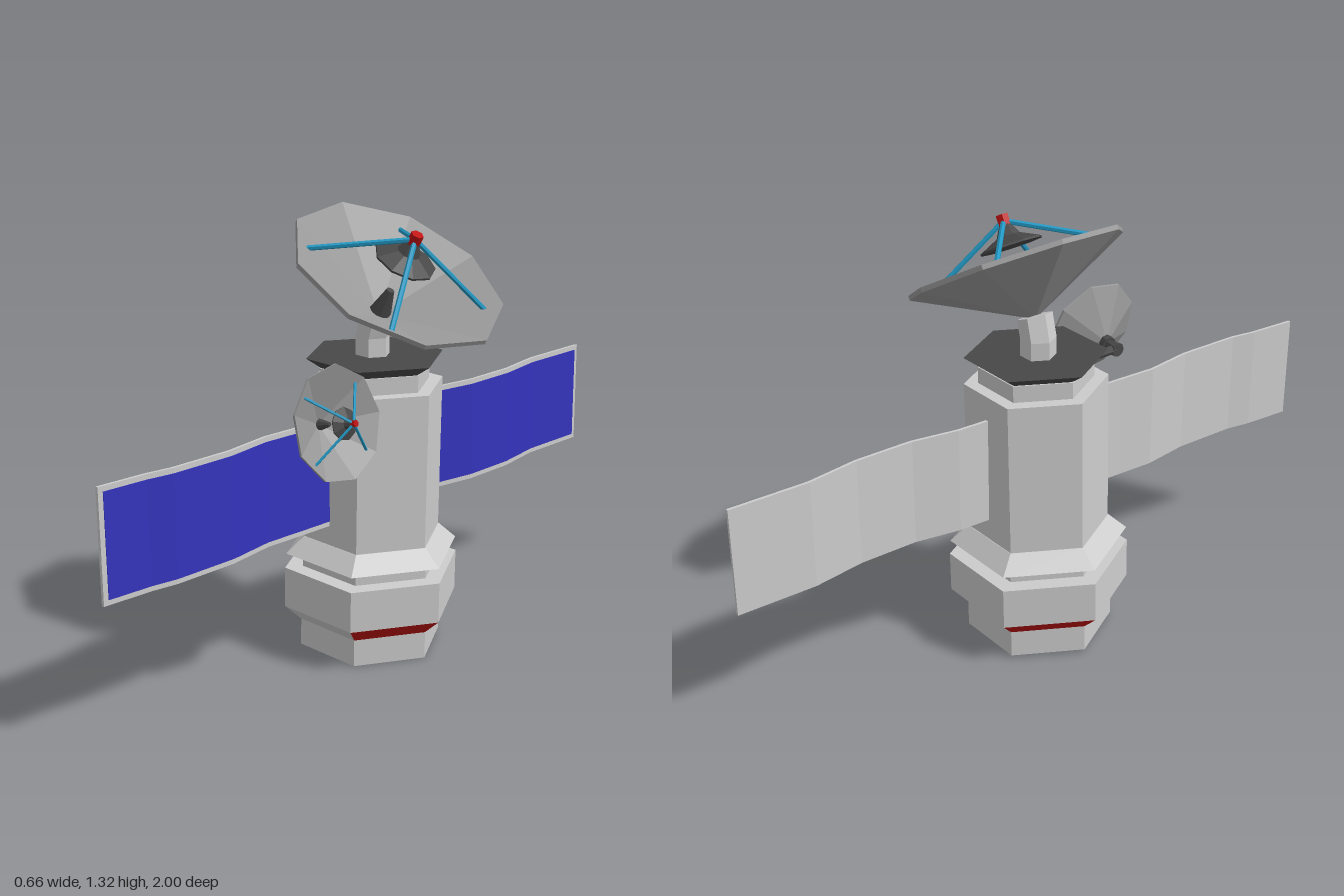
import * as THREE from 'three';

const mat = (name, color) => {
  const m = new THREE.MeshStandardMaterial({ color });
  m.name = name;
  return m;
};

export function createModel() {
  const hullGray = mat('hullGray', 0xcccccc);
  const dishGray = mat('dishGray', 0x999999);
  const darkGray = mat('darkGray', 0x484848);
  const red = mat('red', 0xc01010);
  const blue = mat('blue', 0x3434bc);
  const cyan = mat('cyan', 0x2299c4);

  const root = new THREE.Group();
  root.name = 'satellite';

  // Faceted mesh helper
  const add = (parent, name, geo, material) => {
    const g = geo.index ? geo.toNonIndexed() : geo;
    g.computeVertexNormals();
    const mesh = new THREE.Mesh(g, material);
    mesh.name = name;
    parent.add(mesh);
    return mesh;
  };

  // Cylinder between two points
  const rod = (parent, name, a, b, rA, rB, material, sides = 6) => {
    const from = new THREE.Vector3(...a), dir = new THREE.Vector3(...b).sub(from);
    const mesh = add(parent, name, new THREE.CylinderGeometry(rB, rA, dir.length(), sides), material);
    mesh.position.copy(from).addScaledVector(dir, 0.5);
    mesh.quaternion.setFromUnitVectors(new THREE.Vector3(0, 1, 0), dir.normalize());
    return mesh;
  };

  // Hexagonal hull, leaning very slightly
  const hull = new THREE.Group();
  hull.name = 'hull';
  hull.position.set(-0.0625, 0.005, 0);
  hull.rotation.z = -0.025;
  root.add(hull);

  const hex = (name, y0, r0, y1, r1, material, open = false, start = 0, faces = 6) => {
    const g = new THREE.CylinderGeometry(r1, r0, y1 - y0, faces, 1, open,
      Math.PI / 6 + start * Math.PI / 3, faces * Math.PI / 3);
    g.translate(0, (y0 + y1) / 2, 0);
    return add(hull, name, g, material);
  };
  hex('base', 0, 0.22, 0.083, 0.22, hullGray);
  // Sloped band: four red side faces, plain front and back
  for (const side of [0, 3]) {
    hex('redBand', 0.083, 0.22, 0.13, 0.27, red, true, side, 2);
    hex('plainBand', 0.083, 0.22, 0.13, 0.27, hullGray, true, side + 2, 1);
  }
  hex('collar', 0.13, 0.27, 0.255, 0.27, hullGray);
  hex('lowerNeck', 0.255, 0.215, 0.3, 0.215, hullGray);
  hex('skirt', 0.3, 0.267, 0.35, 0.212, hullGray);
  hex('mainBody', 0.35, 0.21, 0.815, 0.21, hullGray);
  hex('upperNeck', 0.815, 0.168, 0.865, 0.168, hullGray);
  hex('topShade', 0.855, 0.148, 0.896, 0.208, darkGray);

  // Bent mast carrying the large dish
  const mast = new THREE.CylinderGeometry(0.052, 0.052, 0.12, 6, 2);
  mast.rotateY(Math.PI / 6);
  const p = mast.attributes.position;
  for (let i = 0; i < p.count; i++) {
    const x = p.getX(i), y = p.getY(i);
    if (y > 0.01) p.setXYZ(i, x * 0.92 + 0.017, 0.06 - x * 0.4, p.getZ(i));
  }
  add(root, 'mast', mast, hullGray).position.set(-0.05, 0.955, 0);

  // Dish antenna, modelled with its rim centred on the origin and facing +y
  const dish = (name, scale, position, tilt) => {
    const g = new THREE.Group();
    g.name = name;
    g.position.set(...position);
    g.rotation.z = -tilt;
    g.scale.setScalar(scale);
    root.add(g);
    const lathe = (pts, sides) => new THREE.LatheGeometry(
      pts.map(q => new THREE.Vector2(...q)), sides, Math.PI);
    add(g, 'reflector', lathe([[0, -0.158], [0.02, -0.158], [0.325, -0.008],
      [0.325, 0.006], [0.02, -0.143], [0, -0.143]], 9), dishGray);
    add(g, 'feedHorn', lathe([[0, -0.145], [0.035, -0.145], [0.012, -0.06], [0, -0.06]], 8), darkGray);
    add(g, 'subReflector', lathe([[0, 0.06], [0.092, 0.046], [0.092, 0.052],
      [0.035, 0.078], [0.012, 0.12], [0, 0.12]], 9), darkGray);
    rod(g, 'focusTip', [0, 0.105, 0], [0, 0.14, 0], 0.019, 0.019, red);
    for (const sx of [-1, 1]) for (const sz of [-1, 1]) {
      rod(g, 'strut', [sx * 0.188, -0.02, sz * 0.2], [0, 0.122, 0], 0.008, 0.008, cyan);
    }
  };
  dish('largeDish', 1, [0.05, 1.15, 0], 0.534);
  dish('smallDish', 0.5, [0.155, 0.808, 0.36], 1.353);

  // Arm of the small dish
  rod(root, 'armMount', [0.025, 0.79, 0.17], [0.025, 0.79, 0.21], 0.025, 0.025, darkGray, 8);
  rod(root, 'arm', [0.025, 0.79, 0.2], [0.025, 0.79, 0.35], 0.014, 0.014, darkGray, 8);
  rod(root, 'armElbow', [0.012, 0.79, 0.352], [0.026, 0.79, 0.352], 0.022, 0.022, darkGray, 8);
  rod(root, 'armWrist', [0.026, 0.79, 0.352], [0.062, 0.79, 0.356], 0.016, 0.016, darkGray, 8);
  rod(root, 'dishHub', [0.058, 0.79, 0.356], [0.082, 0.792, 0.36], 0.023, 0.023, darkGray, 8);

  // Gently waving solar wings: [z, x] bend lines
  const bends = {
    backWing: [[-1, -0.043], [-0.76, -0.046], [-0.6, -0.022], [-0.42, -0.022], [-0.28, -0.046], [-0.17, -0.05]],
    frontWing: [[0.17, -0.06], [0.3, -0.064], [0.42, -0.069], [0.57, -0.047], [0.77, -0.049], [0.85, -0.062], [1, -0.071]],
  };
  // Sheet following the bend lines, its z ends trimmed to z0..z1
  const sheet = (line, z0, z1, h, thick, offset) => {
    const rows = line.map(([z, x]) => [Math.min(z1, Math.max(z0, z)), x]);
    const g = new THREE.BoxGeometry(thick, h, 1, 1, 1, rows.length - 1);
    const pos = g.attributes.position;
    for (let i = 0; i < pos.count; i++) {
      const [z, x] = rows[Math.round((pos.getZ(i) + 0.5) * (rows.length - 1))];
      pos.setXYZ(i, pos.getX(i) + x + offset, pos.getY(i), z);
    }
    return g;
  };
  for (const [name, line] of Object.entries(bends)) {
    const y = name === 'frontWing' ? 0.577 : 0.583;
    const wing = new THREE.Group();
    wing.name = name;
    wing.position.y = y;
    root.add(wing);
    add(wing, 'wingPanel', sheet(line, -1, 1, 0.325, 0.009, 0), hullGray);
    add(wing, 'solarCells', sheet(line, -0.985, 0.985, 0.295, 0.004, 0.005), blue);
  }
  return root;
}
